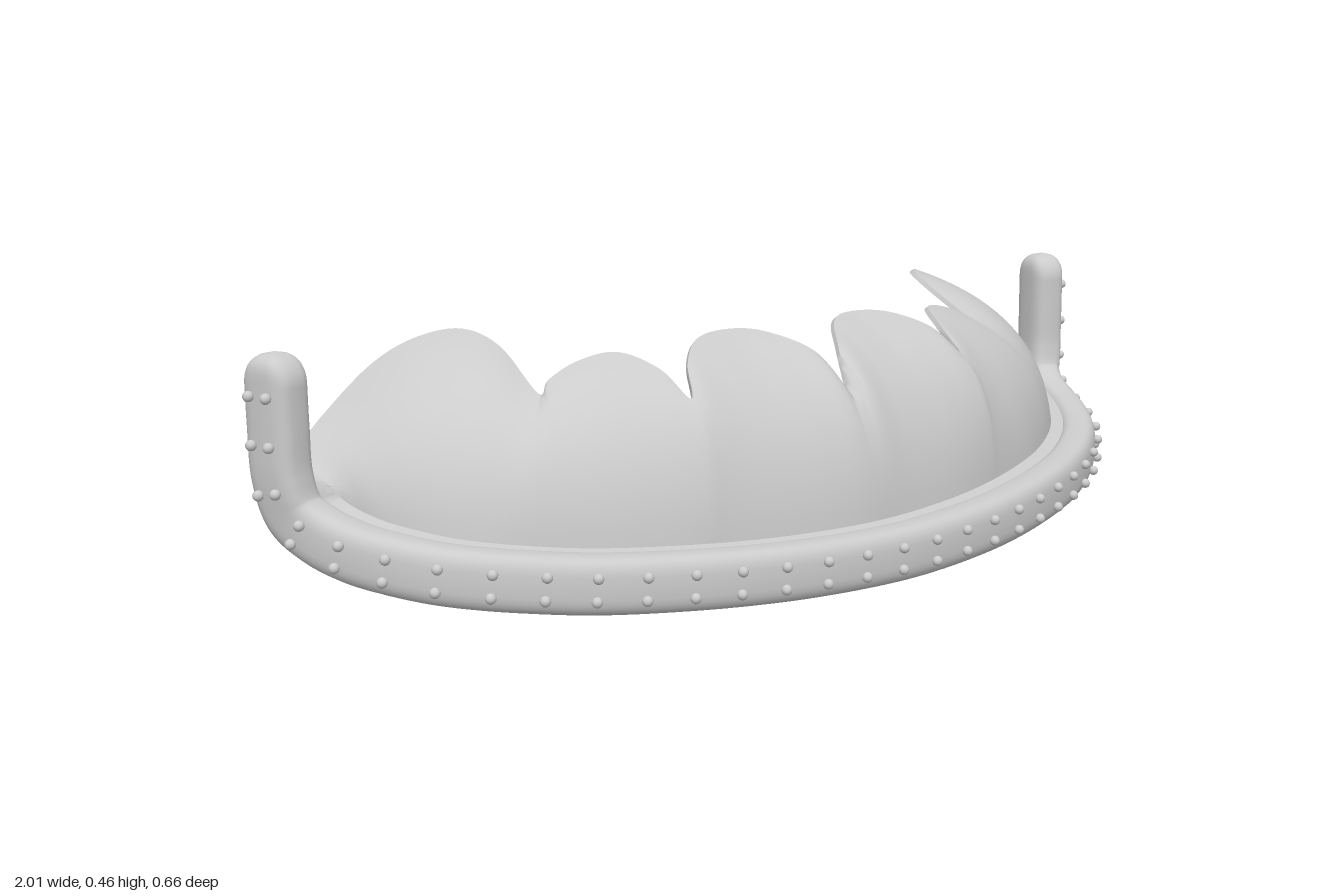
import * as THREE from 'three';
import { toCreasedNormals } from 'three/addons/utils/BufferGeometryUtils.js';

const V = (x, y, z) => new THREE.Vector3(x, y, z);
const mirror = (p) => V(-p.x, p.y, p.z);

// Centre line of the band: front middle, round the side, up the end post
const half = [
  [0, .054, .277], [.204, .058, .262], [.368, .065, .228], [.532, .075, .173], [.609, .081, .137],
  [.679, .089, .097], [.744, .097, .05], [.8, .106, -.003], [.846, .118, -.061], [.883, .132, -.123],
  [.913, .156, -.188], [.935, .19, -.226], [.947, .25, -.239], [.949, .34, -.241], [.949, .463, -.241],
].map((p) => V(...p));
const bandPath = new THREE.CatmullRomCurve3([...half.slice(1).reverse().map(mirror), ...half]);
bandPath.arcLengthDivisions = 1200;

// Position, outward direction and height direction on the band
function frame(u) {
  const p = bandPath.getPointAt(u);
  const a = .75 * p.x + .6 * Math.sign(p.x) * THREE.MathUtils.smoothstep(Math.abs(p.x), .65, .98);
  const out = V(Math.sin(a), 0, Math.cos(a));
  const up = out.clone().cross(bandPath.getTangentAt(u)).normalize();
  return { p, out, up };
}

const offset = (f, o, h) => f.p.clone().addScaledVector(f.out, o).addScaledVector(f.up, h);

// Joins closed rings of points into a skin
function loft(rings) {
  const n = rings[0].length, pos = [], index = [];
  rings.forEach((r) => r.forEach((p) => pos.push(p.x, p.y, p.z)));
  for (let i = 0; i < rings.length - 1; i++) {
    for (let j = 0; j < n; j++) {
      const k = (j + 1) % n, a = i * n + j, b = a + n, c = i * n + k, d = c + n;
      index.push(a, b, c, b, d, c);
    }
  }
  const g = new THREE.BufferGeometry();
  g.setAttribute('position', new THREE.Float32BufferAttribute(pos, 3));
  g.setIndex(index);
  g.computeVertexNormals();
  return g;
}

// Rounded strip along the centre line, rounding off at the post tops
function bandGeometry() {
  const rings = [], steps = 640, sides = 28;
  const soft = (v, e) => Math.sign(v) * Math.pow(Math.abs(v), e);
  for (let i = 0; i <= steps; i++) {
    const f = frame(i / steps);
    const t = THREE.MathUtils.clamp((f.p.y - .408) / .055, 0, 1);
    const w = .051 * Math.sqrt(1 - t * t), d = .038 * Math.sqrt(1 - t ** 4);
    const ring = [];
    for (let j = 0; j < sides; j++) {
      const q = (j / sides) * Math.PI * 2;
      ring.push(offset(f, d * soft(Math.cos(q), .65), w * soft(Math.sin(q), .65)));
    }
    rings.push(ring);
  }
  return loft(rings);
}

// Rim of the scalloped shell: x, y, z and the x where that rib meets the band
const rim = [
  [0, .325, .13, 0], [.03, .395, .07, .04], [.09, .43, -.005, .1], [.16, .437, -.033, .18],
  [.24, .43, -.015, .26], [.305, .4, .04, .33], [.338, .35, .09, .37], [.352, .395, .02, .4],
  [.39, .42, -.05, .46], [.46, .41, -.072, .55], [.525, .385, -.07, .64], [.55, .365, -.065, .7],
  [.542, .43, -.19, .735], [.57, .455, -.27, .775], [.64, .44, -.315, .815], [.72, .4, -.33, .85],
  [.82, .33, -.318, .885], [.9, .27, -.295, .915], [.945, .25, -.255, .94],
];
const rimCurve = new THREE.CatmullRomCurve3(rim.map((r) => V(r[0], r[1], r[2])), false, 'catmullrom');
const rootCurve = new THREE.CatmullRomCurve3(rim.map((r) => V(r[3], 0, 0)), false, 'catmullrom');

// Band frame at a given x on the +x half
function frameAtX(x) {
  let lo = .5, hi = .93;
  for (let i = 0; i < 24; i++) {
    const m = (lo + hi) / 2;
    if (bandPath.getPointAt(m).x < x) lo = m; else hi = m;
  }
  return frame((lo + hi) / 2);
}

// One rib of the shell: up the hollow front, over the rim, down the back and under the band
function rib(t) {
  const tip = rimCurve.getPoint(t), f = frameAtX(rootCurve.getPoint(t).x);
  const ledge = offset(f, -.028, .04), root = offset(f, -.056, .046);
  const mid = root.clone().lerp(tip, .1);
  mid.y = THREE.MathUtils.lerp(root.y, tip.y, .75);
  const backTip = tip.clone().addScaledVector(f.out, -.008);
  backTip.y -= .006;
  const backMid = mid.clone().addScaledVector(f.out, -.035);
  backMid.y -= .04;
  const droop = .035 * THREE.MathUtils.smoothstep(f.p.x, .5, .8);
  const backLow = offset(f, -.09, -.05 - droop), backRoot = offset(f, -.005, -.053);
  return [
    ledge,
    ...new THREE.QuadraticBezierCurve3(root, mid, tip).getPoints(18),
    ...new THREE.CubicBezierCurve3(backTip, backMid, backLow, backRoot).getPoints(20),
  ];
}

function shellGeometry() {
  const ribs = [], steps = 180;
  for (let i = 0; i <= steps; i++) ribs.push(rib(i / steps));
  const left = ribs.slice(1).reverse().map((r) => r.map(mirror));
  return toCreasedNormals(loft([...left, ...ribs]), .9);
}

export function createModel() {
  const group = new THREE.Group();
  const material = new THREE.MeshStandardMaterial({ color: 0xcccccc, side: THREE.DoubleSide });
  const add = (name, geometry, parent = group) => {
    const mesh = new THREE.Mesh(geometry, material);
    mesh.name = name;
    parent.add(mesh);
    return mesh;
  };

  add('band', bandGeometry());
  add('scallopedShell', shellGeometry());

  // Two rows of round studs along the band and up the posts
  const studs = new THREE.Group();
  studs.name = 'studs';
  group.add(studs);
  const stud = new THREE.SphereGeometry(.0095, 12, 8);
  const length = bandPath.getLength(), perSide = 17;
  const gap = (length / 2 - .071) / (perSide - .5);
  for (const side of [-1, 1]) {
    for (let i = 0; i < perSide; i++) {
      const f = frame(.5 + (side * (i + .5) * gap) / length);
      for (const row of [-.02, .02]) add('stud', stud, studs).position.copy(offset(f, .043, row));
    }
  }
  return group;
}
